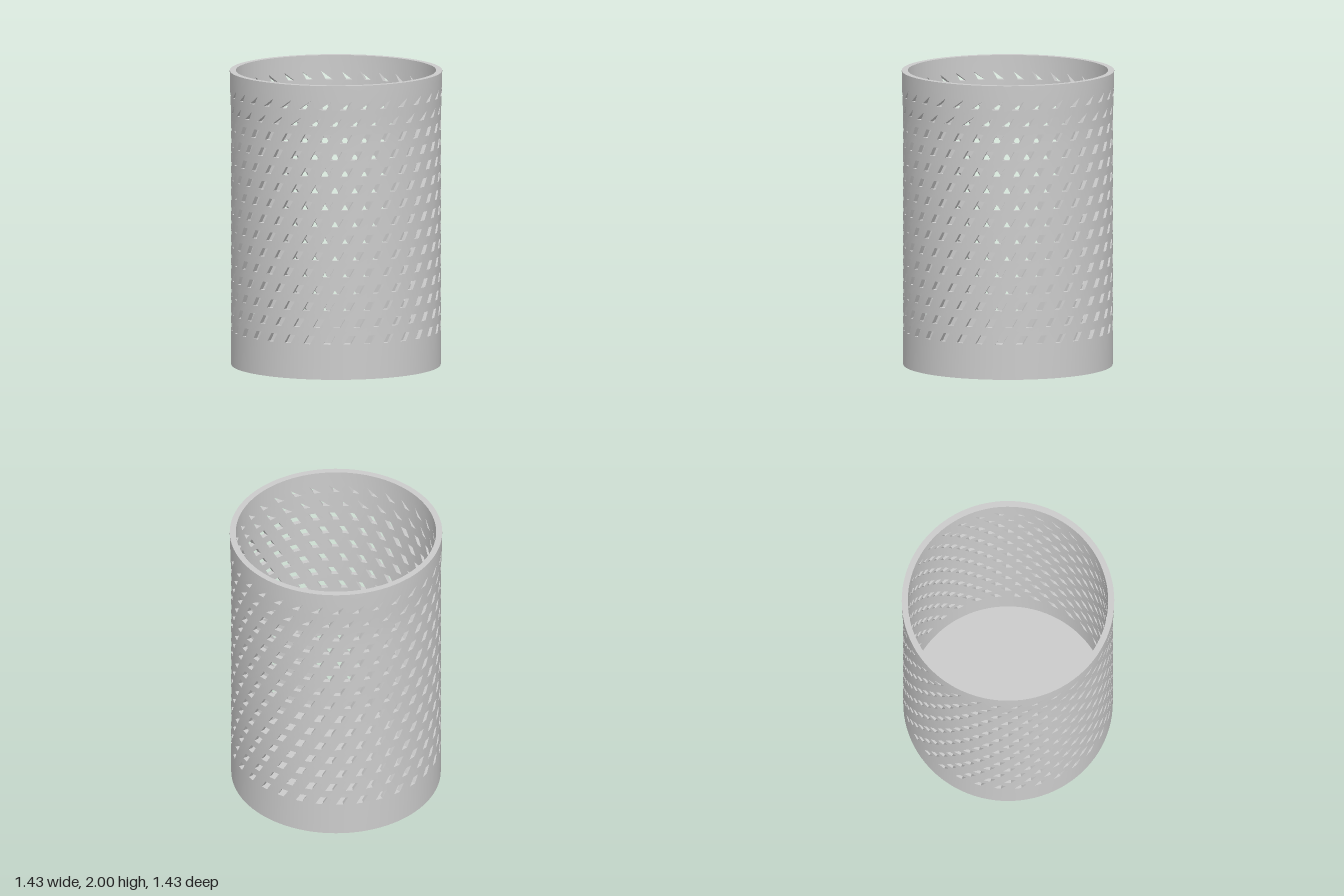
import * as THREE from 'three';

const COLUMNS = 32, ROWS = 15, STEPS = COLUMNS * 3;  // each column: one hole + two strip segments
const PITCH = 0.114, FIRST = 0.239, HOLE_H = 0.058, HALF_HOLE = 0.034;
const HEIGHT = 2, INNER = 0.674, FLOOR = 0.04;
const LAST = FIRST + PITCH * (ROWS - 1) + HOLE_H;
const material = new THREE.MeshStandardMaterial({ color: 0xcccccc });

// Heights of the mesh rings: base, bottom and top of every hole row, rim
const levels = [0];
for (let i = 0; i < ROWS; i++) levels.push(FIRST + PITCH * i, FIRST + PITCH * i + HOLE_H);
levels.push(HEIGHT);

// Outer wall flares slightly towards the rim
const outerRadius = y => 0.705 + 0.01 * THREE.MathUtils.smoothstep(y, 1.6, HEIGHT);

// Helical angle of a grid line; the twist runs only through the pierced band
function angleAt(step, y) {
  const offset = [-HALF_HOLE, HALF_HOLE, Math.PI / COLUMNS][step % 3];
  const twist = 0.836 * (THREE.MathUtils.clamp(y, FIRST, LAST) - 0.268) - 0.019;
  return Math.floor(step / 3) * 2 * Math.PI / COLUMNS + offset + twist;
}

function gridPoint(step, level, inside) {
  const y = levels[level], a = angleAt(step % STEPS, y);
  const r = inside ? INNER : outerRadius(y);
  return [r * Math.sin(a), y, r * Math.cos(a)];
}

function buildGeometry(positions, index) {
  const g = new THREE.BufferGeometry();
  g.setAttribute('position', new THREE.Float32BufferAttribute(positions, 3));
  if (index) g.setIndex(index);
  g.computeVertexNormals();
  return g;
}

const isHole = (step, level) => step % 3 === 0 && level % 2 === 1 && level < levels.length - 1;
const isTriangular = level => level >= 2 * (ROWS - 2) + 1;   // two top rows

// Cylindrical skin with the slanted openings left out
function skin(inside) {
  const positions = [], index = [];
  const tri = (a, b, c) => inside ? index.push(a, c, b) : index.push(a, b, c);
  for (let l = 0; l < levels.length; l++)
    for (let s = 0; s < STEPS; s++) positions.push(...gridPoint(s, l, inside));
  for (let l = 0; l < levels.length - 1; l++)
    for (let s = 0; s < STEPS; s++) {
      const n = (s + 1) % STEPS;
      const bl = l * STEPS + s, br = l * STEPS + n, tl = bl + STEPS, tr = br + STEPS;
      const hole = isHole(s, l);
      if (!hole) tri(bl, br, tr);
      if (!hole || isTriangular(l)) tri(bl, tr, tl);
    }
  return buildGeometry(positions, index);
}

// Flat faces through the wall thickness around each opening
function reveals() {
  const positions = [];
  for (let l = 1; l < levels.length - 1; l += 2)
    for (let s = 0; s < STEPS; s += 3) {
      const corners = [[s, l], [s + 1, l], [s + 1, l + 1]];
      if (!isTriangular(l)) corners.push([s, l + 1]);
      corners.forEach((c, i) => {
        const d = corners[(i + 1) % corners.length];
        const a = gridPoint(...c, false), b = gridPoint(...d, false);
        const e = gridPoint(...d, true), f = gridPoint(...c, true);
        positions.push(...a, ...b, ...e, ...a, ...e, ...f);
      });
    }
  return buildGeometry(positions);
}

export function createModel() {
  const group = new THREE.Group();
  group.name = 'basket';
  const add = (name, geometry) => {
    const mesh = new THREE.Mesh(geometry, material);
    mesh.name = name;
    group.add(mesh);
  };

  add('outerWall', skin(false));
  add('innerWall', skin(true));
  add('holeEdges', reveals());

  // Flat rim, inside floor and underside
  const up = -Math.PI / 2;
  add('rim', new THREE.RingGeometry(INNER, outerRadius(HEIGHT), STEPS).rotateX(up).translate(0, HEIGHT, 0));
  add('floor', new THREE.CircleGeometry(INNER, STEPS).rotateX(up).translate(0, FLOOR, 0));
  add('underside', new THREE.CircleGeometry(outerRadius(0), STEPS).rotateX(-up));
  return group;
}
